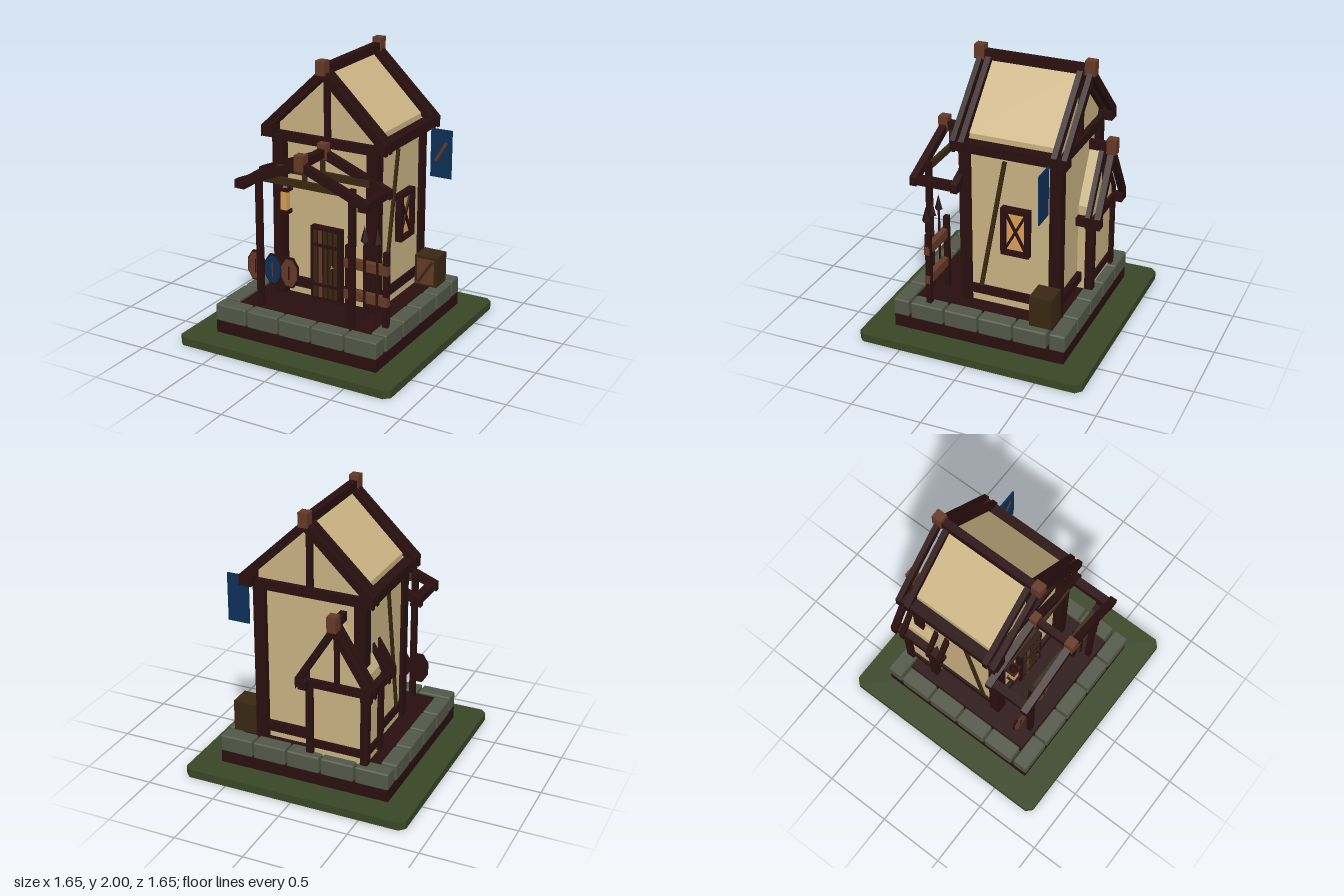
import * as THREE from 'three';
import { RoundedBoxGeometry } from 'three/addons/geometries/RoundedBoxGeometry.js';

const mat = (name, color) => Object.assign(new THREE.MeshStandardMaterial({ color }), { name });

export function createModel() {
  const root = new THREE.Group();
  root.name = 'timberHouse';
  const timber = mat('dark timber', 0x2a0f0f), plaster = mat('tan plaster', 0xcbb484),
    stone = mat('grey stone', 0x535949), grass = mat('grass green', 0x3a4726),
    wood = mat('red brown wood', 0x663a27), olive = mat('olive brown wood', 0x3a2812),
    blue = mat('blue cloth', 0x0d3059), glow = mat('amber glass', 0xdca055);

  let parent = root;
  const group = (name) => {
    parent = new THREE.Group();
    parent.name = name;
    root.add(parent);
    return parent;
  };
  const add = (name, geo, m) => {
    const mesh = new THREE.Mesh(geo, m);
    mesh.name = name;
    parent.add(mesh);
    return mesh;
  };
  // Box given by its limits on each axis
  const box = (name, m, x0, x1, y0, y1, z0, z1) => {
    const mesh = add(name, new THREE.BoxGeometry(x1 - x0, y1 - y0, z1 - z0), m);
    mesh.position.set((x0 + x1) / 2, (y0 + y1) / 2, (z0 + z1) / 2);
    return mesh;
  };
  // Outline in x and y, extruded from z0 to z1
  const slab = (name, m, pts, z0, z1) => {
    const shape = new THREE.Shape(pts.map((p) => new THREE.Vector2(...p)));
    const geo = new THREE.ExtrudeGeometry(shape, { depth: z1 - z0, bevelEnabled: false });
    return add(name, geo.translate(0, 0, z0), m);
  };
  // Pair of rafters with upright cut ends
  const rafters = (name, cx, half, apex, eave, h, z0, z1) => slab(name, timber, [
    [cx - half, eave - h], [cx, apex - h], [cx + half, eave - h],
    [cx + half, eave], [cx, apex], [cx - half, eave]], z0, z1);
  const house = (name, cx, half, y0, eave, apex, z0, z1) => slab(name, plaster, [
    [cx - half, y0], [cx + half, y0], [cx + half, eave], [cx, apex], [cx - half, eave]], z0, z1);
  // Plank leaning in the x-y plane
  const barXY = (name, m, x0, y0, x1, y1, w, z0, z1) => {
    const mesh = add(name, new THREE.BoxGeometry(w, Math.hypot(x1 - x0, y1 - y0), z1 - z0), m);
    mesh.position.set((x0 + x1) / 2, (y0 + y1) / 2, (z0 + z1) / 2);
    mesh.rotation.z = Math.atan2(x0 - x1, y1 - y0);
    return mesh;
  };
  // Plank leaning in the z-y plane
  const barZY = (name, m, z0, y0, z1, y1, w, x0, x1) => {
    const mesh = add(name, new THREE.BoxGeometry(x1 - x0, Math.hypot(z1 - z0, y1 - y0), w), m);
    mesh.position.set((x0 + x1) / 2, (y0 + y1) / 2, (z0 + z1) / 2);
    mesh.rotation.x = Math.atan2(z1 - z0, y1 - y0);
    return mesh;
  };
  const flat = (geo) => {
    const g = geo.toNonIndexed();
    g.computeVertexNormals();
    return g;
  };
  const sides = [-1, 1];

  // Ground plate with clipped corners, and the dark floor
  group('base');
  const G = 0.825, C = 0.785;
  slab('grassPlate', grass, [[-C, -G], [C, -G], [G, -C], [G, C], [C, G], [-C, G], [-G, C], [-G, -C]], 0, 0.06)
    .rotation.x = -Math.PI / 2;
  box('plinth', timber, -0.63, 0.63, 0.06, 0.15, -0.63, 0.63);
  box('floor', timber, -0.515, 0.515, 0.15, 0.26, -0.515, 0.515);

  // Ring of foundation stones
  group('foundationStones');
  const block = (x, z, w, d) =>
    add('stone', new RoundedBoxGeometry(w, 0.125, d, 1, 0.012), stone).position.set(x, 0.2125, z);
  for (const s of sides) {
    for (let i = -2; i <= 2; i++) block(i * 0.255, s * 0.58, 0.243, 0.115);
    for (let i = 0; i < 4; i++) block(s * 0.58, -0.383 + i * 0.255, 0.115, 0.243);
  }

  // Main house: plaster body inside a timber frame
  group('mainHouse');
  house('plasterBody', 0, 0.385, 0.26, 1.52, 1.9, -0.47, 0.155);
  for (const s of sides) {
    const x = s * 0.367;
    for (const z of [0.18, -0.47]) box('cornerPost', timber, x - 0.042, x + 0.042, 0.26, 1.43, z - 0.04, z + 0.04);
    box('sideSill', timber, s * 0.385 - 0.015, s * 0.385 + 0.015, 0.32, 0.39, -0.45, 0.16);
    box('eaveBeam', timber, s * 0.43 - 0.04, s * 0.43 + 0.04, 1.415, 1.485, -0.57, 0.25);
    barZY('sideBrace', olive, 0.07, 0.39, -0.105, 1.36, 0.028, s * 0.39 - 0.012, s * 0.39 + 0.012);
  }
  for (const z of [0.165, -0.48]) {
    box('tieBeam', timber, -0.4, 0.4, 1.385, 1.45, z - 0.03, z + 0.03);
    box('kingPost', timber, -0.02, 0.02, 1.43, 1.88, z - 0.02, z + 0.02);
    box('endSill', timber, -0.36, 0.36, 0.32, 0.39, z - 0.025, z + 0.02);
  }
  for (const [z0, z1] of [[0.15, 0.19], [0.213, 0.25], [-0.5, -0.46], [-0.57, -0.533]])
    rafters('rafters', 0, 0.48, 1.95, 1.49, 0.08, z0, z1);
  box('ridgeBeam', timber, -0.027, 0.027, 1.9, 1.965, -0.57, 0.25);
  for (const z of [0.235, -0.55]) box('ridgeCap', wood, -0.034, 0.034, 1.9, 2.0, z - 0.036, z + 0.036);

  // Small rear wing that wraps the back corner
  group('rearWing');
  const W = -0.235;
  house('wingBody', W, 0.2, 0.26, 0.91, 1.25, -0.57, -0.32);
  for (const x of [W - 0.2, W + 0.2])
    for (const z of [-0.565, -0.34]) box('wingPost', timber, x - 0.025, x + 0.025, 0.275, 0.82, z - 0.03, z + 0.03);
  for (const s of sides) {
    const x = W + s * 0.225;
    box('wingEaveBeam', timber, x - 0.03, x + 0.03, 0.78, 0.84, -0.65, -0.22);
  }
  box('wingTie', timber, W - 0.24, W + 0.24, 0.78, 0.84, -0.595, -0.55);
  box('wingSill', timber, W - 0.2, W + 0.2, 0.32, 0.38, -0.585, -0.55);
  box('wingSideSill', timber, W - 0.215, W - 0.19, 0.32, 0.38, -0.56, -0.34);
  box('wingKingPost', timber, W - 0.018, W + 0.018, 0.82, 1.24, -0.59, -0.56);
  for (const [z0, z1] of [[-0.655, -0.61], [-0.58, -0.545], [-0.345, -0.315], [-0.255, -0.22]])
    rafters('wingRafters', W, 0.272, 1.3, 0.865, 0.085, z0, z1);
  box('wingRidge', timber, W - 0.022, W + 0.022, 1.26, 1.325, -0.65, -0.46);
  box('wingRidgeCap', wood, W - 0.033, W + 0.033, 1.25, 1.36, -0.67, -0.6);

  // Open porch frame
  group('porch');
  for (const s of sides) {
    box('porchPost', timber, s * 0.36 - 0.02, s * 0.36 + 0.02, 0.26, 1.24, 0.452, 0.49);
    box('porchEave', timber, s * 0.465 - 0.03, s * 0.465 + 0.03, 1.12, 1.175, 0.19, 0.54);
  }
  for (const z of [0.515, 0.215]) {
    rafters('porchRafters', 0, 0.51, 1.385, 1.18, 0.062, z - 0.025, z + 0.025);
    box('porchRidgeCap', wood, -0.035, 0.035, 1.32, 1.43, z - 0.032, z + 0.036);
  }
  for (const z of [0.468, 0.235]) {
    box('porchTie', olive, -0.36, 0.36, 1.18, 1.23, z - 0.013, z + 0.013);
    box('porchStrut', olive, -0.015, 0.015, 1.22, 1.35, z - 0.012, z + 0.012);
  }
  box('porchRidge', timber, -0.025, 0.025, 1.335, 1.395, 0.19, 0.54);

  // Plank door
  group('door');
  box('doorPanel', timber, -0.12, 0.12, 0.26, 0.81, 0.15, 0.205);
  [olive, wood, olive, olive, olive].forEach((m, i) => {
    const x = -0.08 + i * 0.04;
    box('doorPlank', m, x - 0.014, x + 0.014, 0.29, 0.785, 0.204, 0.21);
  });
  for (const y of [0.385, 0.68]) box('doorBand', timber, -0.1, 0.1, y - 0.012, y + 0.012, 0.204, 0.216);
  add('doorKnob', flat(new THREE.OctahedronGeometry(0.02)), timber).position.set(0.055, 0.53, 0.218);

  // Side window with crossed bars
  group('window');
  box('windowPane', glow, 0.38, 0.405, 0.71, 1.02, -0.275, -0.105);
  for (const z of [-0.105, -0.277]) box('windowJamb', timber, 0.38, 0.435, 0.69, 1.04, z - 0.016, z + 0.016);
  for (const y of [0.705, 1.023]) box('windowRail', timber, 0.38, 0.435, y - 0.016, y + 0.016, -0.293, -0.09);
  for (const s of sides) barZY('windowBar', timber, -0.19 - s * 0.08, 0.715, -0.19 + s * 0.08, 1.015, 0.017, 0.4, 0.42);

  // Hanging lantern
  group('lantern').position.set(-0.285, 0, 0.26);
  box('lanternGlass', glow, -0.024, 0.024, 0.91, 1.06, -0.024, 0.024);
  box('lanternFoot', timber, -0.034, 0.034, 0.89, 0.918, -0.034, 0.034);
  box('lanternRim', timber, -0.04, 0.04, 1.055, 1.08, -0.034, 0.034);
  add('lanternRoof', flat(new THREE.ConeGeometry(0.034, 0.08, 6)), timber).position.y = 1.12;
  box('lanternHook', timber, -0.006, 0.006, 1.13, 1.19, -0.03, 0.006);

  // Three eight-sided shields
  group('shields');
  [[-0.425, wood], [-0.287, blue], [-0.155, wood]].forEach(([x, m]) => {
    const disc = (name, mm, rx, ry, t, z) => {
      const mesh = add(name, flat(new THREE.CylinderGeometry(1, 1, t, 8).rotateY(Math.PI / 8).rotateX(Math.PI / 2)), mm);
      mesh.scale.set(rx, ry, 1);
      mesh.position.set(x, 0.53, z);
    };
    disc('shieldRim', timber, 0.074, 0.118, 0.018, 0.42);
    disc('shieldFace', m, 0.066, 0.105, 0.008, 0.431);
    box('shieldBar', m === blue ? wood : timber, x - 0.004, x + 0.004, 0.48, 0.58, 0.434, 0.439);
  });

  // Rack with spears
  group('spearRack');
  for (const x of [0.285, 0.57]) box('rackPost', timber, x - 0.02, x + 0.02, 0.26, 0.81, 0.365, 0.4);
  for (const y of [0.46, 0.685]) box('rackRail', wood, 0.26, 0.59, y - 0.033, y + 0.033, 0.366, 0.408);
  for (const x of [0.325, 0.425, 0.52]) {
    add('spearShaft', flat(new THREE.CylinderGeometry(0.009, 0.009, 0.58, 6)), timber).position.set(x, 0.595, 0.42);
    add('spearHead', flat(new THREE.ConeGeometry(0.03, 0.11, 4)), timber).position.set(x, 0.93, 0.42);
  }

  // Crate beside the house
  group('crate');
  box('crateBody', olive, 0.41, 0.58, 0.275, 0.5, -0.52, -0.36);
  box('crateFront', wood, 0.43, 0.56, 0.29, 0.48, -0.362, -0.354);
  barXY('crateBrace', olive, 0.44, 0.3, 0.55, 0.47, 0.02, -0.356, -0.349);

  // Hanging banner
  group('banner');
  box('bannerCloth', blue, 0.475, 0.635, 1.08, 1.43, -0.45, -0.44);
  barXY('bannerStripe', wood, 0.515, 1.2, 0.595, 1.34, 0.02, -0.441, -0.434);

  return root;
}
